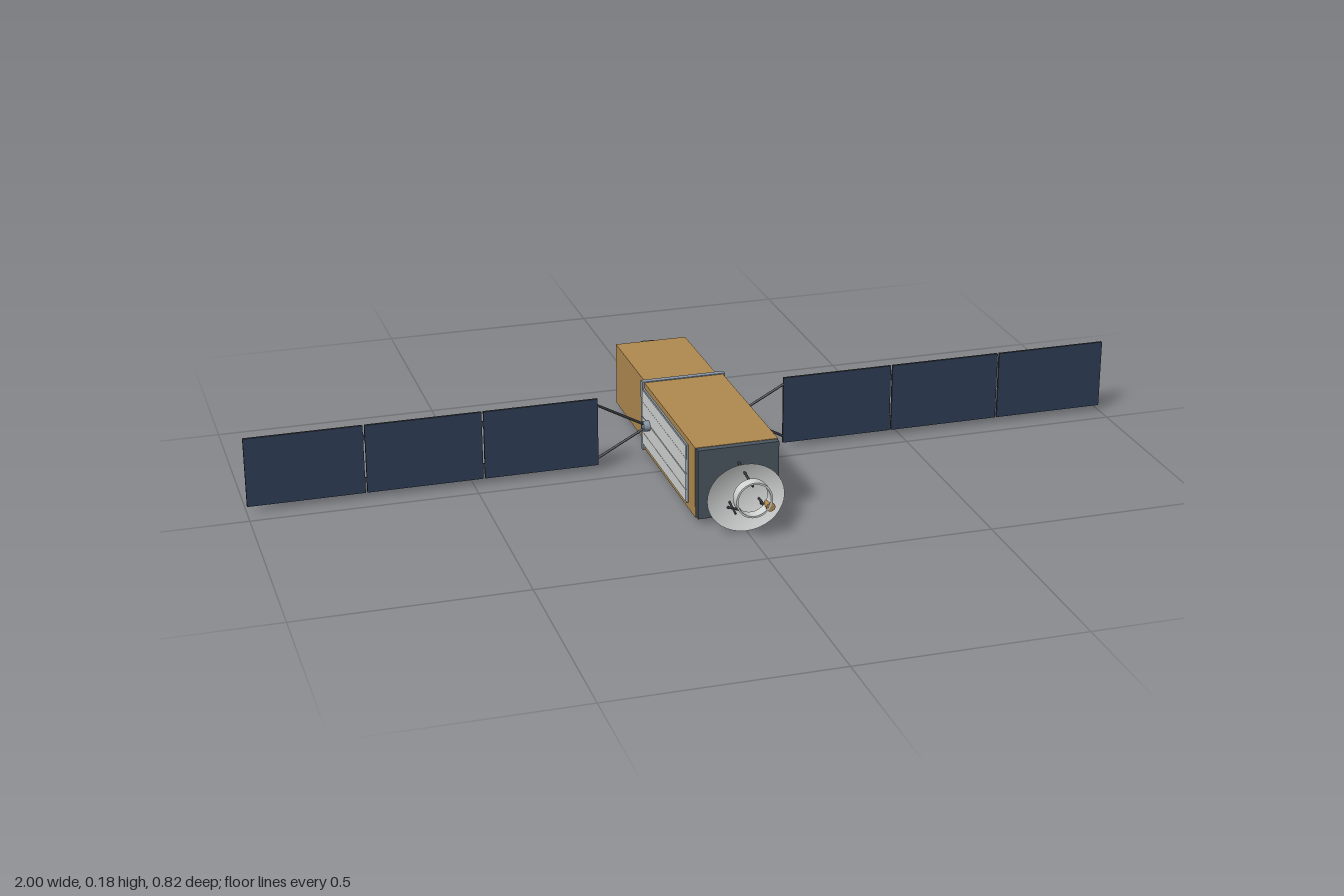
import * as THREE from 'three';

const mat = (name, color, side = THREE.FrontSide) => {
  const m = new THREE.MeshStandardMaterial({ color, side });
  m.name = name;
  return m;
};

export function createModel() {
  const gold = mat('gold foil', 0xb08a50);
  const silver = mat('pale silver', 0xd2d4d4, THREE.DoubleSide);
  const steel = mat('blue steel', 0x8794a3);
  const slate = mat('dark slate', 0x4a5660);
  const navy = mat('solar navy', 0x2e3d54);
  const backing = mat('panel backing grey', 0x838a91);
  const dark = mat('strut charcoal', 0x34373b);

  const model = new THREE.Group();
  const add = (name, geo, material, x = 0, y = 0, z = 0, parent = model) => {
    const m = new THREE.Mesh(geo, material);
    m.name = name;
    m.position.set(x, y, z);
    parent.add(m);
    return m;
  };
  const box = (name, w, h, d, material, x, y, z, parent) =>
    add(name, new THREE.BoxGeometry(w, h, d), material, x, y, z, parent);
  // Straight rod between two points
  const rod = (name, a, b, r, material, parent = model) => {
    const p = new THREE.Vector3(...a), q = new THREE.Vector3(...b);
    const m = add(name, new THREE.CylinderGeometry(r, r, p.distanceTo(q), 8), material, 0, 0, 0, parent);
    m.position.copy(p).add(q).multiplyScalar(0.5);
    m.quaternion.setFromUnitVectors(new THREE.Vector3(0, 1, 0), q.sub(p).normalize());
    return m;
  };
  // Ring with a square section, axis along z
  const ring = (name, outer, inner, depth, material, y, z) => {
    const s = new THREE.Shape().absarc(0, 0, outer, 0, Math.PI * 2, false);
    s.holes.push(new THREE.Path().absarc(0, 0, inner, 0, Math.PI * 2, true));
    const g = new THREE.ExtrudeGeometry(s, { depth, bevelEnabled: false, curveSegments: 28 });
    return add(name, g, material, 0, y, z);
  };

  // Main bus, rear module, joining collar and front plate
  box('mainBody', 0.184, 0.161, 0.395, gold, 0, 0.0985, 0.0875);
  box('rearBody', 0.168, 0.147, 0.265, gold, 0, 0.0985, -0.2425);
  box('collar', 0.194, 0.165, 0.014, steel, 0, 0.0985, -0.112);
  box('frontPlate', 0.18, 0.158, 0.016, slate, 0, 0.099, 0.292);

  // Rear docking ring around the foil end
  ring('rearRing', 0.063, 0.042, 0.034, steel, 0.0985, -0.408);
  ring('rearInnerLip', 0.044, 0.034, 0.014, slate, 0.0985, -0.389);

  // Sides: radiators, hubs, struts and solar wings
  for (const s of [1, -1]) {
    const side = new THREE.Group();
    side.name = s > 0 ? 'leftSide' : 'rightSide';
    model.add(side);
    box('radiatorFrame', 0.005, 0.134, 0.342, steel, s * 0.094, 0.099, 0.065, side);
    for (let i = 0; i < 4; i++)
      box('radiatorStrip', 0.004, i % 3 ? 0.035 : 0.028, 0.338, silver,
        s * 0.0965, [0.0485, 0.081, 0.1185, 0.1505][i], 0.065, side);
    const hub = add('wingHub', new THREE.CylinderGeometry(0.012, 0.012, 0.018, 16), steel, s * 0.104, 0.0985, -0.048, side);
    hub.rotation.z = Math.PI / 2;
    for (const v of [1, -1])
      rod('wingStrut', [s * 0.108, 0.0985 + v * 0.004, -0.048], [s * 0.217, 0.0985 + v * 0.063, -0.048], 0.003, dark, side);

    // Three panels: cells in front, backing behind, dark edges
    const mats = [dark, dark, dark, dark, navy, backing];
    for (let i = 0; i < 3; i++) {
      const x = s * (0.3455 + i * 0.262);
      box('solarPanel', 0.258, 0.158, 0.006, mats, x, 0.0985, -0.048, side);
      for (const v of [1, -1])
        box('panelRib', 0.25, 0.0018, 0.001, dark, x, 0.0985 + v * 0.057, -0.0513, side);
      if (i < 2)
        for (const v of [1, -1])
          box('panelHinge', 0.008, 0.012, 0.004, dark, x + s * 0.131, 0.0985 + v * 0.05, -0.049, side);
    }
  }

  // Dish antenna, slightly tilted upwards
  const profile = [];
  for (let i = 0; i <= 8; i++) profile.push(new THREE.Vector2(0.086 * i / 8, 0.016 * (i / 8) ** 2));
  const dishGeo = new THREE.LatheGeometry(profile, 36);
  dishGeo.rotateX(Math.PI / 2);
  dishGeo.scale(1, 0.875, 1);
  const dish = add('dish', dishGeo, silver, 0, 0.08, 0.335);
  dish.rotation.x = -0.067;

  // Sensor ring ahead of the dish, with its supports and feed
  ring('sensorRing', 0.04, 0.036, 0.025, silver, 0.099, 0.385);
  rod('upperSupport', [0, 0.14, 0.298], [0, 0.126, 0.397], 0.0028, dark);
  for (const s of [1, -1]) {
    rod('lowerSupport', [s * 0.042, 0.045, 0.298], [s * 0.03, 0.078, 0.4], 0.0028, dark);
    rod('middleSupport', [s * 0.03, 0.072, 0.298], [s * 0.036, 0.066, 0.392], 0.0025, dark);
  }
  const feed = add('feedHorn', new THREE.CylinderGeometry(0.01, 0.007, 0.027, 16), gold, 0.036, 0.079, 0.396);
  feed.rotation.x = Math.PI / 2;

  return model;
}
